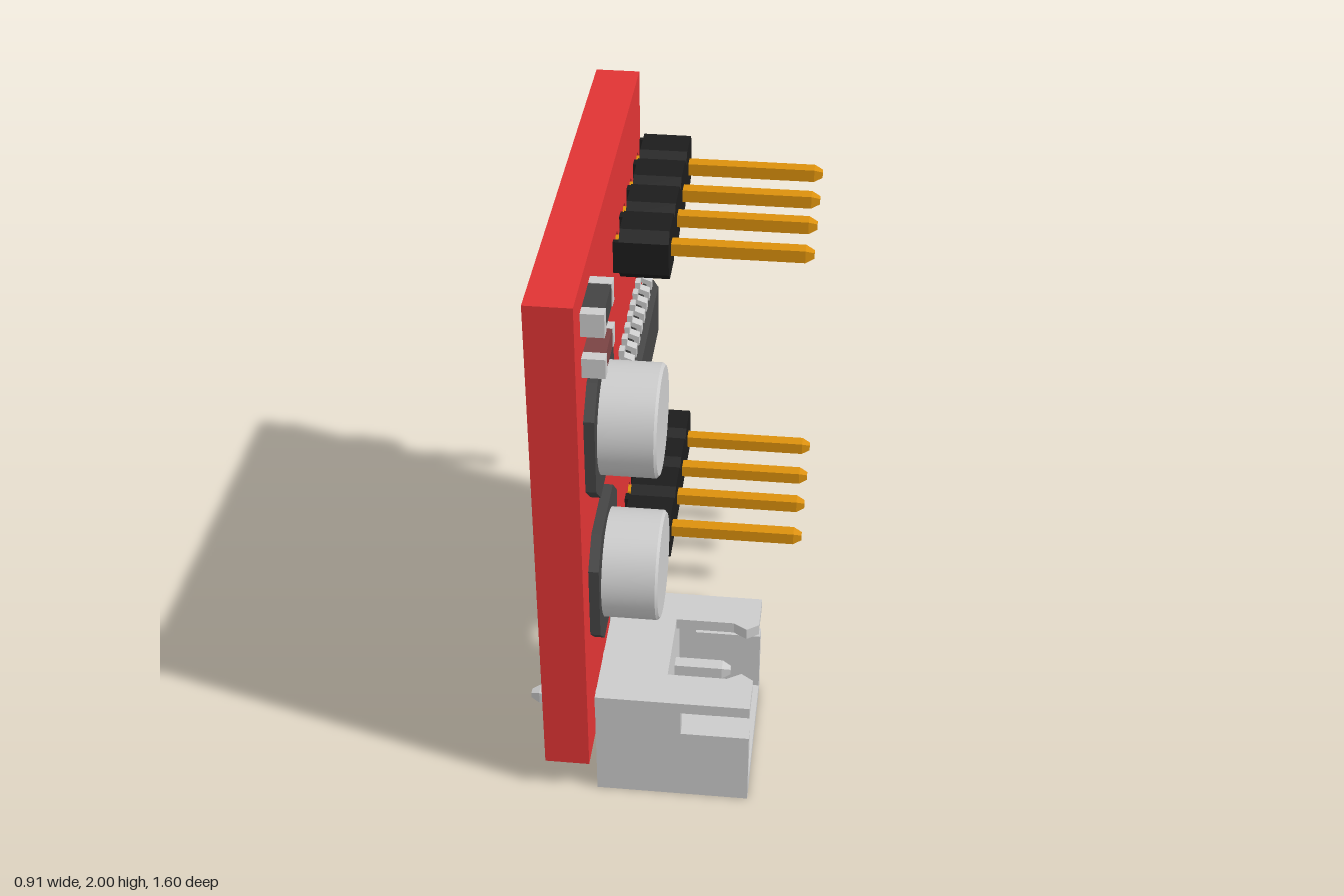
import * as THREE from 'three';
import { toCreasedNormals } from 'three/addons/utils/BufferGeometryUtils.js';

const mat = (color) => new THREE.MeshStandardMaterial({ color });
const GREY = mat(0xcccccc), RED = mat(0xe03434), GOLD = mat(0xdb900c);
const BLACK = mat(0x1c1c1c), DARK = mat(0x444444), BROWN = mat(0x7a4444);

// Everything is laid out on the board face (x, y) with z pointing out of it;
// the finished assembly is then turned so that it faces +x.
const FACE = -0.225, BACK = -0.38;

const poly = (pts) => new THREE.Shape(pts.map((p) => new THREE.Vector2(...p)));
const rect = (x0, x1, y0, y1) => poly([[x0, y0], [x1, y0], [x1, y1], [x0, y1]]);
const octagon = (cx, cy, w, h, c) => {
  const a = w / 2, b = h / 2;
  return poly([[-a + c, -b], [a - c, -b], [a, -b + c], [a, b - c],
    [a - c, b], [-a + c, b], [-a, b - c], [-a, -b + c]].map(([x, y]) => [cx + x, cy + y]));
};
const circle = (x, y, r) => new THREE.Path().absarc(x, y, r, 0, Math.PI * 2, true);

// Extrusion from z0 to z1, its ends optionally tapered by inset over length taper
function slab(shape, z0, z1, inset = 0, taper = 0) {
  const g = new THREE.ExtrudeGeometry(shape, {
    depth: z1 - z0 - 2 * taper, curveSegments: 24, bevelEnabled: inset > 0,
    bevelSize: inset, bevelOffset: -inset, bevelThickness: taper, bevelSegments: 1,
  });
  return g.translate(0, 0, z0 + taper);
}

function box(x0, x1, y0, y1, z0, z1) {
  return new THREE.BoxGeometry(x1 - x0, y1 - y0, z1 - z0)
    .translate((x0 + x1) / 2, (y0 + y1) / 2, (z0 + z1) / 2);
}

function add(parent, name, geometry, material) {
  const mesh = new THREE.Mesh(geometry, material);
  mesh.name = name;
  parent.add(mesh);
  return mesh;
}

function group(parent, name) {
  const g = new THREE.Group();
  g.name = name;
  parent.add(g);
  return g;
}

const pin = (x, y, z1, w = 0.046) =>
  slab(rect(x - w / 2, x + w / 2, y - w / 2, y + w / 2), -0.455, z1, 0.012, 0.03);

const PIN_X = [0.133, 0.329, 0.509, 0.705];
const HEADER_Y = [1.676, 0.453];
const PLUG_PIN_X = [-0.602, -0.408], PLUG_PIN_Y = 0.25;
const MOUNT = [-0.08, 0.298];

// Circuit board with mounting hole and pin holes
function addBoard(root) {
  const shape = rect(-0.8, 0.8, 0.12, 2);
  shape.holes.push(circle(...MOUNT, 0.123));
  for (const y of HEADER_Y) for (const x of PIN_X) shape.holes.push(circle(x, y, 0.042));
  for (const x of PLUG_PIN_X) shape.holes.push(circle(x, PLUG_PIN_Y, 0.042));
  add(root, 'board', slab(shape, BACK, FACE), RED);

  const ring = new THREE.Shape().absarc(...MOUNT, 0.15, 0, Math.PI * 2);
  ring.holes.push(circle(...MOUNT, 0.123));
  add(root, 'mountingRing', slab(ring, FACE, FACE + 0.007), GREY);
}

// Four-way pin header: chamfered cells on small feet, with long pins
function addHeader(root, y) {
  const g = group(root, 'pinHeader');
  PIN_X.forEach((px, i) => {
    const x = 0.135 + i * 0.19;
    add(g, 'headerCell', slab(octagon(x, y, 0.19, 0.188, 0.034), -0.205, -0.035), BLACK);
    for (const s of [-1, 1]) {
      const fx = x + s * 0.086;
      add(g, 'headerFoot', box(fx - 0.009, fx + 0.009, y - 0.06, y + 0.06, FACE, -0.2), BLACK);
    }
    add(g, 'headerPin', pin(px, y, 0.452), GOLD);
  });
}

// Surface-mount can capacitor
function addCapacitor(root, y) {
  const g = group(root, 'capacitor'), x = -0.456;
  add(g, 'capacitorBase', slab(octagon(x, y, 0.456, 0.456, 0.09), FACE, -0.19), DARK);
  const profile = [[0.19, -0.195], [0.19, -0.009], [0.181, 0], [0, 0]];
  const can = new THREE.LatheGeometry(profile.map((p) => new THREE.Vector2(...p)), 48);
  can.rotateX(Math.PI / 2).translate(x, y, 0);
  add(g, 'capacitorCan', toCreasedNormals(can, 0.5), GREY);
}

// Small chip component with two metal end caps
function addChip(root, name, y, h, material) {
  const g = group(root, name);
  add(g, 'chipBody', box(-0.65, -0.503, y - h / 2 + 0.002, y + h / 2 - 0.002, FACE, -0.153), material);
  for (const x of [-0.684, -0.503])
    add(g, 'chipEnd', box(x, x + 0.04, y - h / 2, y + h / 2, FACE, -0.15), GREY);
}

// Driver chip with two rows of bent legs
function addDriver(root) {
  const g = group(root, 'driverChip');
  g.position.set(0.397, 1.063, 0);
  add(g, 'driverBody', slab(rect(-0.323, 0.323, -0.114, 0.114), -0.218, -0.15, 0.018, 0.02), DARK);
  const leg = poly([[0.09, -0.188], [0.137, -0.188], [0.15, -0.222], [0.189, -0.222],
    [0.189, -0.203], [0.163, -0.203], [0.15, -0.169], [0.09, -0.169]]);
  const X = new THREE.Vector3(1, 0, 0), Y = new THREE.Vector3(0, 1, 0), Z = new THREE.Vector3(0, 0, 1);
  const turn = new THREE.Matrix4().makeBasis(Y, Z, X);
  for (const side of [0, Math.PI]) {
    const row = group(g, 'legRow');
    row.rotation.z = side;
    for (let i = 0; i < 8; i++) {
      const x = (i - 3.5) * 0.0766;
      add(row, 'leg', slab(leg, x - 0.018, x + 0.018).applyMatrix4(turn), GREY);
    }
  }
}

// Two-way plug socket: open shell with side notches and a snap slot on top
function addSocket(root) {
  const g = group(root, 'plugSocket');
  const x0 = -0.79, x1 = -0.218, t = 0.045, z0 = 0.035, z1 = 0.33, h = 0.43, lid = 0.387;
  add(g, 'socketBack', box(x0, x1, 0, h, -0.2, z0), GREY);
  add(g, 'socketFloor', box(x0, x1, 0, 0.05, z0, z1), GREY);
  for (const x of [x0, x1 - t]) {
    add(g, 'socketSide', box(x, x + t, 0.05, 0.29, z0, z1), GREY);
    add(g, 'socketSideRear', box(x, x + t, 0.29, lid, z0, 0.095), GREY);
  }
  const mid = (x0 + x1) / 2, half = (x1 - x0) / 2, slot = 0.145, snag = 0.115;
  for (const s of [-1, 1]) {
    const arm = poly([[slot, z0], [half, z0], [half, z1], [slot, z1], [snag, 0.288], [slot, 0.24]]
      .map(([x, z]) => [mid + s * x, z]));
    add(g, 'socketTopArm', slab(arm, 0, h - lid).rotateX(Math.PI / 2).translate(0, h, 0), GREY);
  }
  for (const x of PLUG_PIN_X) add(g, 'socketPin', pin(x, PLUG_PIN_Y, 0.235), GREY);
}

export function createModel() {
  const model = new THREE.Group();
  model.name = 'motorDriverBoard';
  const root = group(model, 'assembly');
  root.rotation.y = Math.PI / 2;
  addBoard(root);
  for (const y of HEADER_Y) addHeader(root, y);
  for (const y of [1.368, 0.758]) addCapacitor(root, y);
  addChip(root, 'largeChip', 1.867, 0.083, DARK);
  addChip(root, 'smallChip', 1.71, 0.07, BROWN);
  addDriver(root);
  addSocket(root);
  return model;
}
